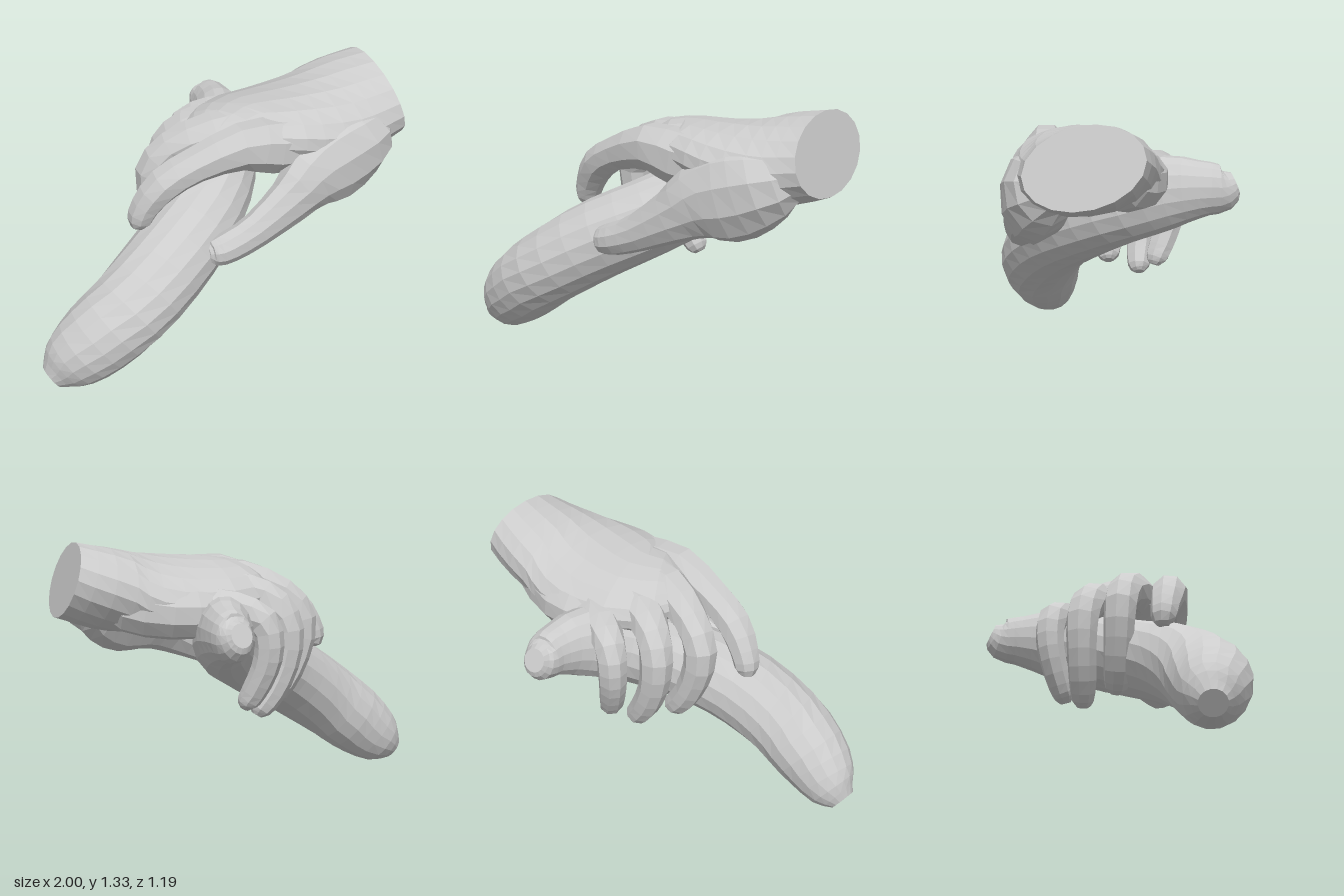
import * as THREE from 'three';

const material = new THREE.MeshStandardMaterial({ color: 0xcccccc, flatShading: true });

// Sweeps an oval section along rows of [x, y, z, halfWidth, halfHeight, roll], closing both ends.
function loft(name, rows, sides, steps, ref) {
  const path = new THREE.CatmullRomCurve3(
    rows.map(r => new THREE.Vector3(r[0], r[1], r[2])), false, 'catmullrom', 0.5);
  const size = new THREE.CatmullRomCurve3(
    rows.map(r => new THREE.Vector3(r[3], r[4] ?? r[3], r[5] ?? 0)), false, 'catmullrom', 0.5);
  const pos = [], idx = [];
  for (let i = 0; i <= steps; i++) {
    const t = i / steps;
    const c = path.getPoint(t), s = size.getPoint(t), dir = path.getTangent(t);
    const side = ref.clone().cross(dir).normalize();
    const up = dir.clone().cross(side);
    side.applyAxisAngle(dir, s.z);
    up.applyAxisAngle(dir, s.z);
    for (let j = 0; j < sides; j++) {
      const a = (j + 0.5) / sides * Math.PI * 2;
      const p = c.clone().addScaledVector(side, s.x * Math.cos(a)).addScaledVector(up, s.y * Math.sin(a));
      pos.push(p.x, p.y, p.z);
      if (i < steps) {
        const k = (j + 1) % sides, A = i * sides + j, B = i * sides + k;
        idx.push(A, B, B + sides, A, B + sides, A + sides);
      }
    }
  }
  // End caps
  const first = pos.length / 3, last = steps * sides;
  for (const t of [0, 1]) pos.push(...path.getPoint(t).toArray());
  for (let j = 0; j < sides; j++) {
    const k = (j + 1) % sides;
    idx.push(first, k, j, first + 1, last + j, last + k);
  }
  const geo = new THREE.BufferGeometry();
  geo.setAttribute('position', new THREE.Float32BufferAttribute(pos, 3));
  geo.setIndex(idx);
  geo.computeVertexNormals();
  const mesh = new THREE.Mesh(geo, material);
  mesh.name = name;
  return mesh;
}

export function createModel() {
  const model = new THREE.Group();
  model.name = 'handHoldingFruit';
  const Y = new THREE.Vector3(0, 1, 0), Z = new THREE.Vector3(0, 0, 1);

  // Long curved fruit running through the grip
  model.add(loft('fruit', [
    [-0.965, 0.055, 0.305, 0.07, 0.065],
    [-0.885, 0.115, 0.315, 0.14, 0.145],
    [-0.75, 0.23, 0.35, 0.195, 0.19],
    [-0.55, 0.38, 0.365, 0.22, 0.20],
    [-0.30, 0.545, 0.30, 0.22, 0.205],
    [-0.05, 0.68, 0.165, 0.21, 0.20],
    [0.15, 0.80, -0.03, 0.19, 0.195],
    [0.27, 0.89, -0.25, 0.145, 0.185],
    [0.32, 0.915, -0.42, 0.11, 0.14],
    [0.325, 0.915, -0.52, 0.09, 0.115],
    [0.32, 0.94, -0.58, 0.055, 0.06],
  ], 16, 24, Y));

  const hand = new THREE.Group();
  hand.name = 'hand';
  model.add(hand);

  // Back of the hand and wrist, cut flat at the end
  hand.add(loft('palm', [
    [-0.03, 1.07, 0.20, 0.12, 0.06, -0.17],
    [0.06, 1.07, 0.15, 0.25, 0.125, -0.17],
    [0.20, 1.06, 0.10, 0.32, 0.15, -0.17],
    [0.40, 1.05, 0.13, 0.365, 0.175, -0.12],
    [0.60, 1.055, 0.16, 0.355, 0.20, 0],
    [0.78, 1.09, 0.165, 0.325, 0.205, 0.15],
    [0.945, 1.135, 0.18, 0.285, 0.19, 0.25],
  ], 18, 12, Y));

  // Fleshy edge of the palm on the little finger side
  hand.add(loft('palmHeel', [
    [0.82, 1.08, 0.06, 0.06],
    [0.68, 1.03, 0.00, 0.145],
    [0.48, 0.99, -0.10, 0.14],
    [0.30, 0.985, -0.115, 0.125],
    [0.18, 0.99, -0.10, 0.06],
  ], 10, 8, Y));

  // Thumb with its broad base webbed into the palm
  hand.add(loft('thumb', [
    [0.86, 1.05, 0.28, 0.08, 0.08],
    [0.75, 1.0, 0.36, 0.165, 0.18],
    [0.58, 0.935, 0.41, 0.155, 0.225],
    [0.41, 0.88, 0.435, 0.13, 0.185],
    [0.26, 0.79, 0.465, 0.095, 0.13],
    [0.06, 0.68, 0.475, 0.075, 0.092],
    [-0.09, 0.625, 0.465, 0.075, 0.08],
    [-0.155, 0.615, 0.455, 0.06, 0.065],
    [-0.18, 0.615, 0.455, 0.03, 0.035],
  ], 10, 18, Y));

  // Fingers curling over the fruit: joints followed by a rounded tip
  const fingers = {
    indexFinger: [
      [0.40, 1.04, 0.34, 0.14, 0.13], [0.24, 1.055, 0.34, 0.145, 0.125],
      [0.06, 1.085, 0.335, 0.12, 0.105], [-0.16, 1.02, 0.29, 0.09],
      [-0.31, 0.935, 0.25, 0.088], [-0.395, 0.82, 0.215, 0.074], [-0.42, 0.74, 0.20, 0.062],
      [-0.415, 0.70, 0.20, 0.03]],
    middleFinger: [
      [0.25, 1.10, 0.18, 0.10], [0.02, 1.085, 0.145, 0.11], [-0.17, 1.01, 0.06, 0.09],
      [-0.26, 0.88, 0.015, 0.085], [-0.23, 0.70, 0.01, 0.077], [-0.16, 0.56, 0.015, 0.072],
      [-0.10, 0.49, 0.02, 0.058], [-0.08, 0.465, 0.02, 0.027]],
    ringFinger: [
      [0.25, 1.07, 0.02, 0.10], [0.06, 1.045, -0.04, 0.105], [-0.06, 0.98, -0.115, 0.09],
      [-0.11, 0.86, -0.155, 0.085], [-0.09, 0.69, -0.155, 0.077], [-0.03, 0.55, -0.14, 0.072],
      [0.03, 0.465, -0.13, 0.058], [0.05, 0.435, -0.13, 0.027]],
    littleFinger: [
      [0.32, 1.02, -0.12, 0.09], [0.19, 1.00, -0.20, 0.09], [0.08, 0.94, -0.28, 0.08],
      [0.055, 0.82, -0.30, 0.075], [0.07, 0.70, -0.28, 0.07], [0.11, 0.58, -0.235, 0.064],
      [0.135, 0.525, -0.21, 0.053], [0.145, 0.495, -0.20, 0.027]],
  };
  for (const [name, rows] of Object.entries(fingers)) {
    hand.add(loft(name, rows, 8, (rows.length - 1) * 2, Z));
  }
  return model;
}
